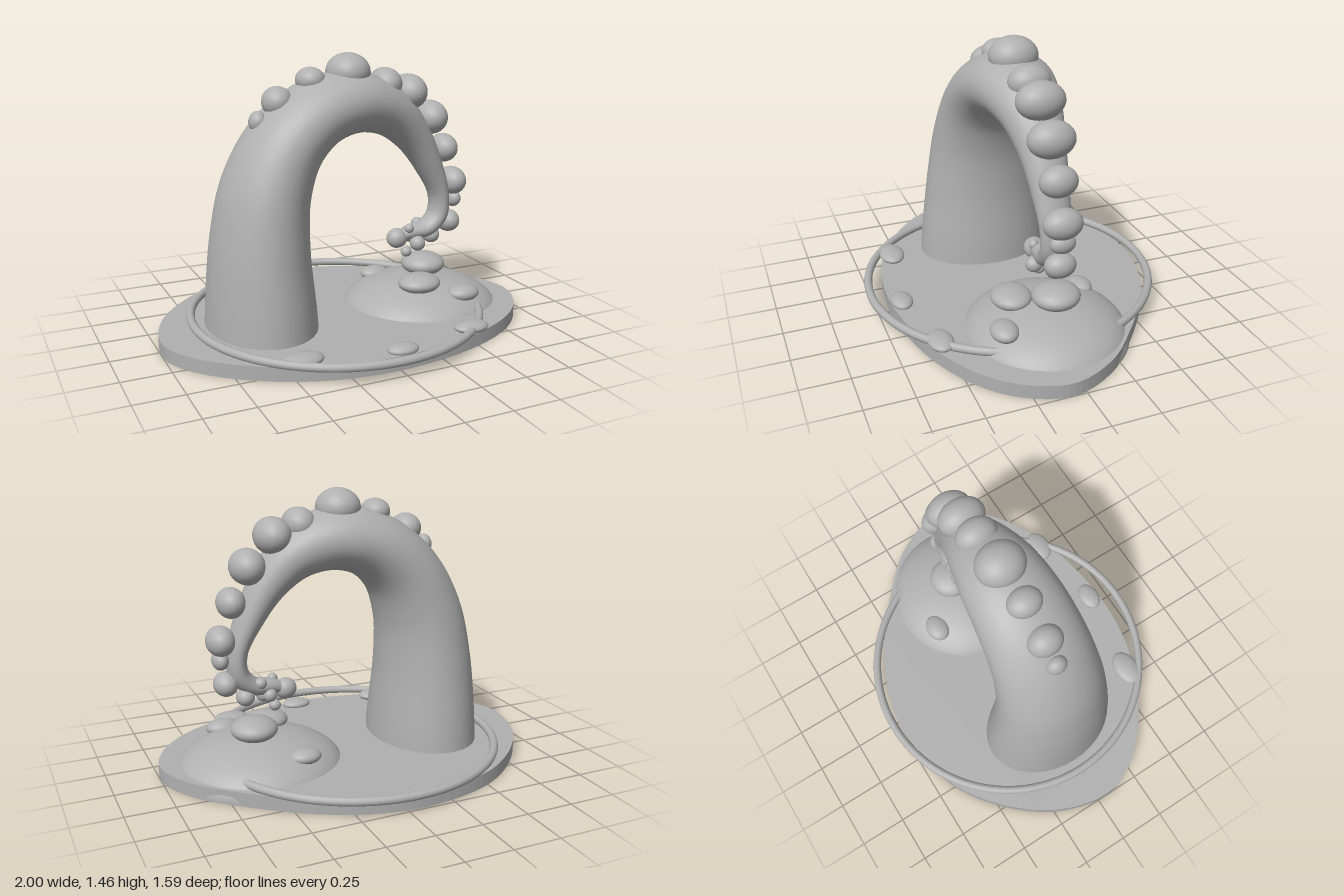
import * as THREE from 'three';

const V = (x, y, z) => new THREE.Vector3(x, y, z);

// Tapered arm with elliptical rings; rows are [x, y, in-plane radius, z radius]
function armGeometry(rows, rings = 90, sides = 40) {
  const path = new THREE.CatmullRomCurve3(rows.map(([x, y]) => V(x, y, 0)));
  const radii = rows.map((r) => new THREE.Vector2(r[2], r[3]));
  const girth = new THREE.SplineCurve(radii);
  const pos = [], idx = [];
  for (let i = 0; i <= rings; i++) {
    const t = i / rings;
    const c = path.getPoint(t), d = path.getTangent(t), r = girth.getPoint(t);
    for (let j = 0; j < sides; j++) {
      const a = (j / sides) * Math.PI * 2;
      const n = Math.cos(a) * r.x;
      pos.push(c.x - d.y * n, c.y + d.x * n, Math.sin(a) * r.y);
      if (i === rings) continue;
      const k = (j + 1) % sides, p = i * sides, q = p + sides;
      idx.push(p + j, p + k, q + j, p + k, q + k, q + j);
    }
  }
  const g = new THREE.BufferGeometry();
  g.setAttribute('position', new THREE.Float32BufferAttribute(pos, 3));
  g.setIndex(idx);
  g.computeVertexNormals();
  return g;
}

export function createModel() {
  const model = new THREE.Group();
  const stone = new THREE.MeshStandardMaterial({ color: 0xb0b0b0 });
  stone.name = 'stone grey';

  const add = (name, geometry, parent = model) => {
    const mesh = new THREE.Mesh(geometry, stone);
    mesh.name = name;
    parent.add(mesh);
    return mesh;
  };
  const ball = new THREE.SphereGeometry(1, 32, 20);
  const blobs = (name, list) => {
    const group = new THREE.Group();
    group.name = name + 's';
    model.add(group);
    for (const [x, y, z, rx, ry, rz] of list) {
      const m = add(name, ball, group);
      m.position.set(x, y, z);
      m.scale.set(rx, ry, rz);
    }
  };

  // Irregular flat slab, outline as [x, z]
  const outline = [
    [-1, 0.07], [-0.93, -0.23], [-0.72, -0.5], [-0.46, -0.67], [-0.08, -0.74],
    [0.2, -0.69], [0.45, -0.57], [0.7, -0.38], [0.9, -0.18], [1, 0.06],
    [0.94, 0.27], [0.78, 0.45], [0.52, 0.59], [0.2, 0.67], [-0.1, 0.685],
    [-0.4, 0.63], [-0.7, 0.48], [-0.92, 0.27],
  ];
  const edge = new THREE.CatmullRomCurve3(outline.map(([x, z]) => V(x, -z, 0)), true);
  const slab = new THREE.Shape(edge.getPoints(120).slice(0, -1).map((p) => new THREE.Vector2(p.x, p.y)));
  add('base', new THREE.ExtrudeGeometry(slab, { depth: 0.073, bevelEnabled: false }).rotateX(-Math.PI / 2));

  // Ripple ring lying on the slab
  add('ring', new THREE.TorusGeometry(0.773, 0.022, 14, 120).rotateX(Math.PI / 2))
    .position.set(-0.035, 0.09, 0);

  // Low mound
  const mound = add('mound', new THREE.SphereGeometry(1, 48, 16, 0, Math.PI * 2, 0, Math.PI / 2));
  mound.position.set(0.485, 0.005, 0);
  mound.scale.set(0.445, 0.205, 0.43);

  // Curling tentacle
  add('tentacle', armGeometry([
    [-0.46, 0.06, 0.285, 0.375],
    [-0.46, 0.5, 0.25, 0.325],
    [-0.42, 0.78, 0.225, 0.29],
    [-0.31, 1.01, 0.197, 0.262],
    [-0.135, 1.155, 0.177, 0.24],
    [0.07, 1.2, 0.163, 0.212],
    [0.27, 1.14, 0.135, 0.163],
    [0.42, 1.0, 0.1, 0.12],
    [0.53, 0.82, 0.072, 0.095],
    [0.595, 0.66, 0.052, 0.08],
    [0.59, 0.54, 0.052, 0.075],
    [0.52, 0.47, 0.048, 0.068],
    [0.42, 0.455, 0.04, 0.05],
    [0.35, 0.435, 0.03, 0.035],
  ]));

  // Suckers along the outer curve
  blobs('sucker', [
    [-0.455, 1.13, 0, 0.045, 0.055, 0.055],
    [-0.35, 1.225, 0, 0.078, 0.078, 0.092],
    [-0.17, 1.325, 0, 0.075, 0.065, 0.09],
    [0.04, 1.355, 0, 0.115, 0.1, 0.128],
    [0.255, 1.285, 0, 0.085, 0.085, 0.11],
    [0.395, 1.235, 0, 0.095, 0.095, 0.125],
    [0.53, 1.09, 0, 0.09, 0.092, 0.12],
    [0.62, 0.915, 0, 0.073, 0.078, 0.096],
    [0.68, 0.725, 0, 0.073, 0.077, 0.1],
    [0.685, 0.625, 0, 0.042, 0.05, 0.065],
    [0.66, 0.497, 0, 0.063, 0.063, 0.08],
  ]);

  // Small beads clustered round the tip
  blobs('tipBead', [
    [0.565, 0.42, -0.02, 0.047, 0.047, 0.055],
    [0.34, 0.43, 0, 0.058, 0.055, 0.055],
    [0.445, 0.4, 0.045, 0.042, 0.042, 0.045],
    [0.4, 0.345, 0, 0.031, 0.029, 0.031],
    [0.49, 0.49, -0.045, 0.032, 0.03, 0.032],
    [0.4, 0.485, 0.03, 0.026, 0.026, 0.026],
    [0.44, 0.42, -0.045, 0.035, 0.035, 0.035],
  ]);

  // Eggs resting on the mound
  blobs('egg', [
    [0.53, 0.25, -0.04, 0.122, 0.063, 0.125],
    [0.4, 0.21, 0.15, 0.118, 0.052, 0.105],
    [0.61, 0.16, 0.265, 0.09, 0.045, 0.07],
    [0.335, 0.15, -0.26, 0.083, 0.04, 0.065],
  ]);

  // Flat pebbles by the ring
  blobs('pebble', [
    [-0.455, 0.092, 0.56, 0.105, 0.032, 0.07],
    [0.04, 0.082, 0.63, 0.083, 0.03, 0.058],
    [0.48, 0.092, 0.55, 0.095, 0.03, 0.065],
  ]);

  return model;
}
